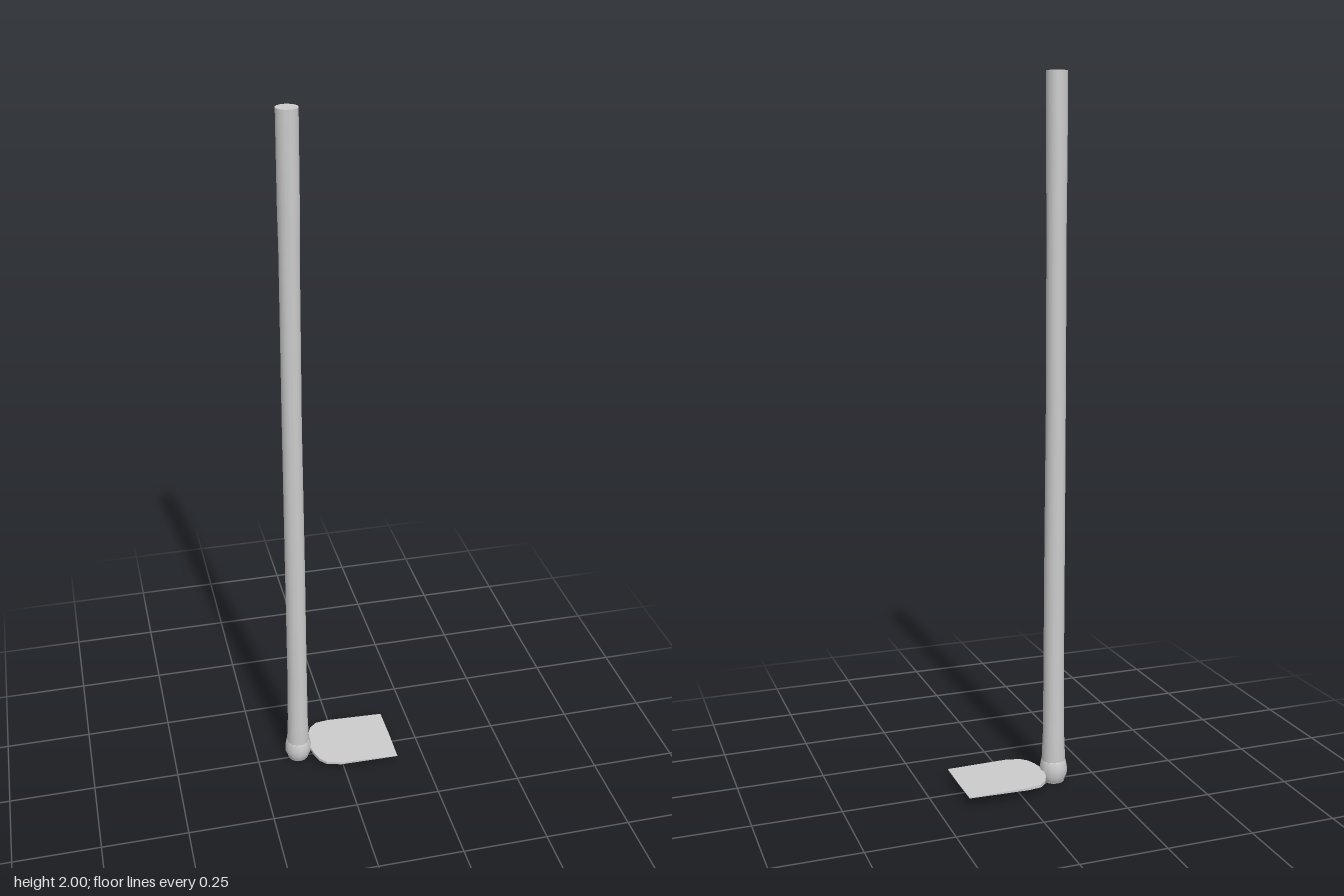
import * as THREE from 'three';

const AXIS_X = -0.125, AXIS_Z = -0.006;

function addMesh(group, name, geometry) {
  const material = new THREE.MeshStandardMaterial({ color: 0xcccccc, roughness: 0.8 });
  const mesh = new THREE.Mesh(geometry, material);
  mesh.name = name;
  group.add(mesh);
  return mesh;
}

// Turned part around the pole axis, from [radius, height] pairs
function turned(profile, sides) {
  return new THREE.LatheGeometry(profile.map(([r, y]) => new THREE.Vector2(r, y)), sides);
}

// Flat blade that thins from the collar to the cutting edge
function bladeGeometry() {
  const outline = [
    [-0.094, -0.006], [-0.088, 0.021], [-0.084, 0.04], [-0.073, 0.067], [-0.055, 0.086],
    [-0.012, 0.098], [0.163, 0.102], [0.164, 0], [0.163, -0.101], [-0.01, -0.105],
    [-0.05, -0.099], [-0.072, -0.079], [-0.084, -0.05], [-0.088, -0.031],
  ];
  const shape = new THREE.Shape(outline.map(([x, z]) => new THREE.Vector2(x, -z)));
  const geometry = new THREE.ExtrudeGeometry(shape, { depth: 1, bevelEnabled: false });
  geometry.rotateX(-Math.PI / 2);
  const p = geometry.attributes.position;
  for (let i = 0; i < p.count; i++) {
    const t = (p.getX(i) + 0.094) / 0.258;
    const y = p.getY(i) > 0.5
      ? THREE.MathUtils.lerp(0.037, 0.031, t)
      : THREE.MathUtils.lerp(0.027, 0.029, t);
    p.setY(i, y);
  }
  geometry.computeVertexNormals();
  return geometry;
}

export function createModel() {
  const model = new THREE.Group();
  model.name = 'hoe';

  // Wooden pole, slightly uneven and flared toward the collar
  const pole = turned([
    [0.031, 0.002], [0.034, 0.07], [0.031, 0.14], [0.0295, 0.3], [0.029, 0.7],
    [0.0275, 1.15], [0.0275, 1.65], [0.029, 1.75], [0.029, 2],
  ], 16);
  const p = pole.attributes.position;
  for (let i = 0; i < p.count; i++) {
    const y = p.getY(i);
    p.setX(p.count > 0 ? i : 0, p.getX(i) + 0.001 * Math.sin(y * 4));
  }
  pole.computeVertexNormals();
  addMesh(model, 'pole', pole).position.set(AXIS_X, 0, AXIS_Z);

  // Flat ends of the pole
  for (const [name, y, radius, turn] of [['poleTop', 2, 0.029, -1], ['poleFoot', 0.002, 0.031, 1]]) {
    const cap = new THREE.CircleGeometry(radius, 16).rotateX(turn * Math.PI / 2);
    addMesh(model, name, cap).position.set(AXIS_X + 0.001 * Math.sin(y * 4), y, AXIS_Z);
  }

  // Metal collar holding the pole
  const collar = turned([
    [0.029, 0.004], [0.031, 0], [0.034, 0.012], [0.039, 0.022],
    [0.040, 0.042], [0.036, 0.062], [0.033, 0.066],
  ], 12);
  addMesh(model, 'collar', collar).position.set(AXIS_X, 0, AXIS_Z);

  // Blade
  addMesh(model, 'blade', bladeGeometry());

  return model;
}
